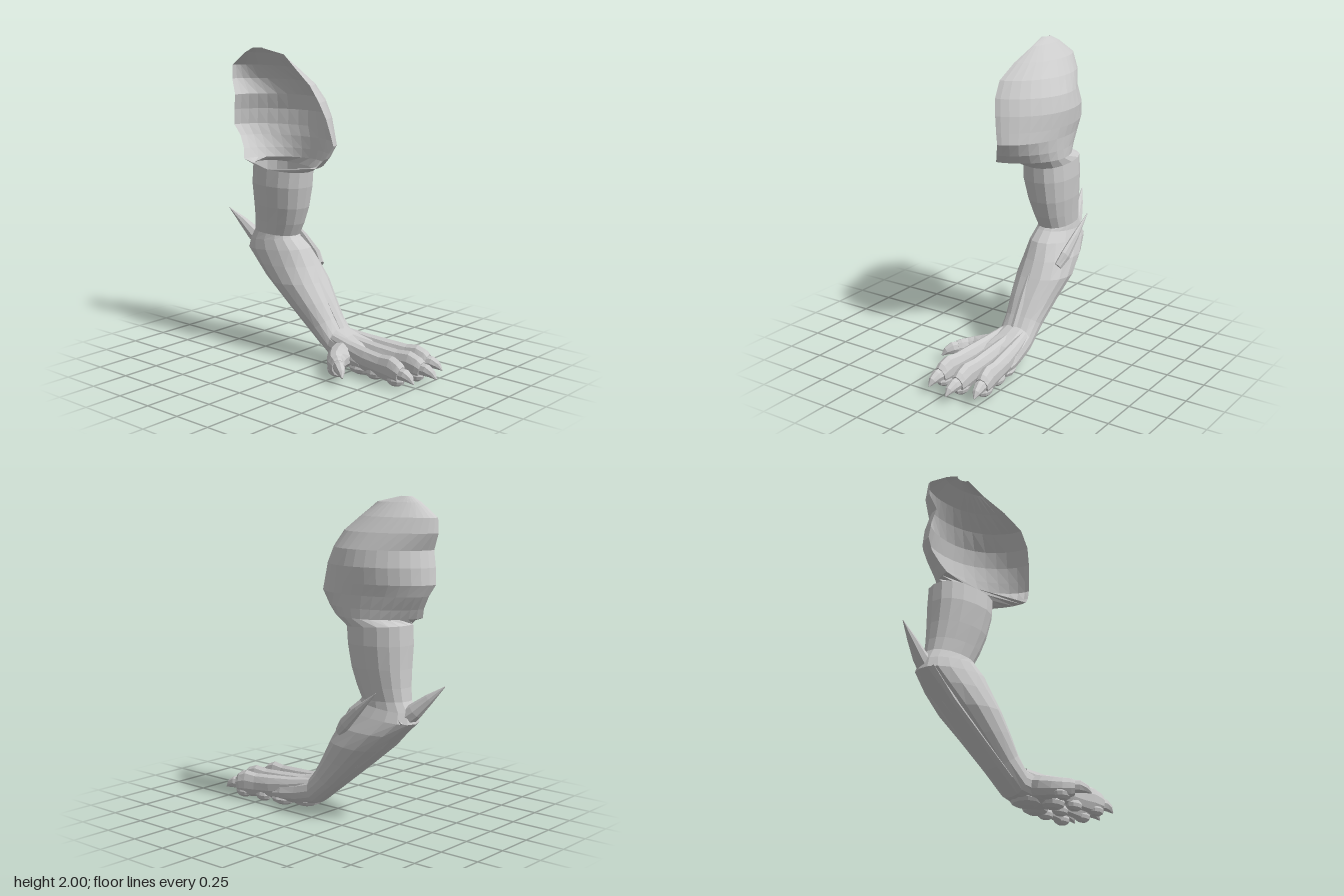
import * as THREE from 'three';

const V = (x, y, z) => new THREE.Vector3(x, y, z);
const material = new THREE.MeshStandardMaterial({ color: 0xcccccc, flatShading: true, side: THREE.DoubleSide });

function addMesh(parent, name, geometry) {
  const mesh = new THREE.Mesh(geometry, material);
  mesh.name = name;
  parent.add(mesh);
}

// Skin a surface over a list of rings (arrays of points, all the same length)
function loft(rings, closed = true) {
  const pos = [], n = rings[0].length;
  const tri = (a, b, c) => {
    const area = b.clone().sub(a).cross(c.clone().sub(a)).length();
    if (area > 1e-9) for (const p of [a, b, c]) pos.push(p.x, p.y, p.z);
  };
  for (let i = 0; i < rings.length - 1; i++) {
    for (let j = 0; j < (closed ? n : n - 1); j++) {
      const k = (j + 1) % n, r = rings[i], s = rings[i + 1];
      tri(r[j], s[j], r[k]);
      tri(r[k], s[j], s[k]);
    }
  }
  const g = new THREE.BufferGeometry();
  g.setAttribute('position', new THREE.Float32BufferAttribute(pos, 3));
  g.computeVertexNormals();
  return g;
}

const pow = (v, e) => Math.sign(v) * Math.abs(v) ** e;

// Ring spanned by a front point and a back point (z, y) and a range in x
function armRing([tz, ty, bz, by, x0, x1]) {
  return Array.from({ length: 16 }, (_, j) => {
    const a = (j / 16) * Math.PI * 2, c = pow(Math.cos(a), 0.88), s = pow(Math.sin(a), 0.88);
    return V((x0 + x1) / 2 + s * (x1 - x0) / 2, (ty + by) / 2 + c * (ty - by) / 2, (tz + bz) / 2 + c * (tz - bz) / 2);
  });
}

// Tapered limb along points [x, y, z, half width, half height], closed at both ends
function limb(points, sides = 10) {
  const centers = points.map(p => V(p[0], p[1], p[2]));
  const rings = points.map((p, i) => {
    const t = centers[Math.min(i + 1, points.length - 1)].clone().sub(centers[Math.max(i - 1, 0)]).normalize();
    const u = V(0, 1, 0).addScaledVector(t, -t.y).normalize();
    const v = u.clone().cross(t);
    return Array.from({ length: sides }, (_, j) => {
      const a = (j / sides) * Math.PI * 2;
      return centers[i].clone().addScaledVector(u, Math.cos(a) * p[4]).addScaledVector(v, Math.sin(a) * p[3]);
    });
  });
  const cap = c => Array.from({ length: sides }, () => c.clone());
  return loft([cap(centers[0]), ...rings, cap(centers[centers.length - 1])]);
}

// Flattened ball used for the pads of the sole
function pad(parent, name, x, y, z, rx, ry, rz) {
  addMesh(parent, name, new THREE.SphereGeometry(1, 10, 6).scale(rx, ry, rz).translate(x, y, z));
}

// Finger along a path of (x, z) points, ending in a claw with its tip at (x, z)
function finger(name, path, [cx, cz], profile, padSpots) {
  const g = new THREE.Group();
  g.name = name;
  const curve = new THREE.CatmullRomCurve3(path.map(([x, z]) => V(x, 0, z)));
  addMesh(g, 'fingerFlesh', limb(profile.map(([t, y, w, h]) => {
    const p = curve.getPoint(t);
    return [p.x, y, p.z, w, h];
  })));
  const end = curve.getPoint(1);
  const claw = [[-0.15, 0.1, 0.036, 0.042], [0.3, 0.1, 0.035, 0.04], [0.7, 0.085, 0.024, 0.027], [1, 0.06, 0.004, 0.004]];
  addMesh(g, 'claw', limb(claw.map(([t, y, w, h]) =>
    [end.x + (cx - end.x) * t, y, end.z + (cz - end.z) * t, w, h]), 8));
  for (const t of padSpots) {
    const p = curve.getPoint(t);
    pad(g, 'fingerPad', p.x, 0.055, p.z, 0.043, 0.042, 0.065);
  }
  return g;
}

export function createModel() {
  const model = new THREE.Group();
  model.name = 'clawedArm';

  // Arm from the shoulder joint to the palm: front z, y, back z, y, x range
  const arm = [
    [-0.16, 1.22, -0.595, 1.25, -0.1, 0.205],
    [-0.17, 1.12, -0.6, 1.13, -0.105, 0.21],
    [-0.2, 0.98, -0.6, 0.99, -0.08, 0.2],
    [-0.24, 0.87, -0.605, 0.88, -0.055, 0.185],
    [-0.28, 0.79, -0.615, 0.8, -0.04, 0.175],
    [-0.265, 0.775, -0.65, 0.735, -0.05, 0.18],
    [-0.19, 0.715, -0.67, 0.67, -0.065, 0.205],
    [-0.13, 0.61, -0.58, 0.59, -0.08, 0.24],
    [-0.07, 0.51, -0.45, 0.48, -0.088, 0.255],
    [0.0, 0.4, -0.29, 0.345, -0.07, 0.225],
    [0.06, 0.3, -0.1, 0.185, -0.045, 0.2],
    [0.1, 0.24, 0.07, 0.05, -0.04, 0.2],
    [0.19, 0.21, 0.2, 0.02, -0.055, 0.215],
    [0.29, 0.185, 0.31, 0.02, -0.075, 0.235],
    [0.35, 0.15, 0.37, 0.035, -0.075, 0.235],
    [0.37, 0.1, 0.38, 0.09, -0.04, 0.2],
  ];
  const armRings = arm.map(armRing);
  addMesh(model, 'arm', loft(armRings));

  // Shoulder shell, open on the inner side and joined to the top ring of the arm:
  // y, front z, back z, outer x, front rim x, back rim x
  const shoulder = [
    [2.0, -0.44, -0.52, -0.045, -0.07, -0.07],
    [1.965, -0.28, -0.6, 0.0, -0.04, -0.06],
    [1.88, -0.14, -0.725, 0.085, -0.08, -0.05],
    [1.79, -0.01, -0.73, 0.15, -0.1, -0.05],
    [1.69, 0.055, -0.685, 0.2, -0.09, -0.07],
    [1.59, 0.09, -0.71, 0.222, -0.065, -0.055],
    [1.49, 0.11, -0.72, 0.215, -0.045, -0.045],
    [1.42, 0.12, -0.68, 0.206, -0.03, -0.03],
    [1.34, 0.08, -0.63, 0.204, -0.065, -0.05],
    [1.28, 0.03, -0.6, 0.204, -0.1, -0.08],
  ];
  const shellRows = shoulder.map(([y, zf, zb, xm, xf, xb]) =>
    Array.from({ length: 17 }, (_, j) => {
      const t = (j / 16) * Math.PI, edge = xf + (xb - xf) * j / 16;
      const bulge = Math.abs(Math.sin(t)) ** (j < 8 ? 1.3 : 1);
      return V(edge + (xm - edge) * bulge, y, (zf + zb) / 2 + Math.cos(t) * (zf - zb) / 2);
    }));
  const joint = Array.from({ length: 17 }, (_, j) => armRings[0][(j + 12) % 16]);
  addMesh(model, 'shoulder', loft([...shellRows, joint], false));

  // Tendons along the underside and the front of the forearm
  for (const x of [0.0, 0.07, 0.14]) {
    addMesh(model, 'tendon', limb([
      [x, 0.69, -0.62, 0.02, 0.025], [x, 0.52, -0.46, 0.022, 0.025],
      [x, 0.37, -0.28, 0.02, 0.022], [x, 0.14, 0.0, 0.012, 0.015]], 6));
  }
  addMesh(model, 'frontTendon', limb([
    [0.07, 0.58, -0.135, 0.02, 0.015], [0.075, 0.4, -0.015, 0.024, 0.018], [0.08, 0.22, 0.1, 0.025, 0.02]], 6));

  // Elbow spike, and the thin blade on the outer side of the forearm
  addMesh(model, 'elbowSpike', limb([
    [0.085, 0.69, -0.59, 0.055, 0.06], [0.07, 0.75, -0.665, 0.045, 0.05],
    [0.045, 0.83, -0.75, 0.026, 0.03], [0.015, 0.91, -0.84, 0.002, 0.002]], 8));
  addMesh(model, 'sideBlade', limb([
    [0.22, 0.58, -0.2, 0.02, 0.03], [0.237, 0.64, -0.26, 0.024, 0.045],
    [0.245, 0.74, -0.37, 0.018, 0.03], [0.25, 0.86, -0.51, 0.002, 0.002]], 8));

  // Fingers: position along the path, centre y, half width, half height
  const fingerProfile = [
    [0, 0.18, 0.03, 0.04], [0.25, 0.145, 0.042, 0.06], [0.5, 0.12, 0.047, 0.075], [0.72, 0.11, 0.042, 0.077],
    [0.86, 0.11, 0.047, 0.087], [0.95, 0.1, 0.046, 0.074], [1.02, 0.093, 0.042, 0.056]];
  const spots = [0.62, 0.92];
  model.add(finger('innerFinger', [[0.0, 0.1], [-0.04, 0.4], [-0.068, 0.69]], [-0.075, 0.79], fingerProfile, spots));
  model.add(finger('middleFinger', [[0.08, 0.1], [0.083, 0.4], [0.09, 0.73]], [0.087, 0.84], fingerProfile, spots));
  model.add(finger('outerFinger', [[0.155, 0.1], [0.195, 0.4], [0.228, 0.67]], [0.245, 0.77], fingerProfile, spots));
  const thumbProfile = [
    [0, 0.12, 0.1, 0.08], [0.3, 0.105, 0.085, 0.075], [0.55, 0.095, 0.065, 0.068],
    [0.75, 0.09, 0.054, 0.064], [0.92, 0.092, 0.045, 0.06], [1, 0.092, 0.04, 0.052]];
  model.add(finger('thumb', [[0.0, 0.21], [-0.08, 0.215], [-0.15, 0.245], [-0.21, 0.315]], [-0.272, 0.4], thumbProfile, [0.75]));

  // Pads of the palm
  pad(model, 'palmPad', -0.005, 0.05, 0.33, 0.065, 0.045, 0.09);
  pad(model, 'palmPad', 0.15, 0.05, 0.33, 0.08, 0.045, 0.09);
  pad(model, 'heelPad', 0.08, 0.05, 0.19, 0.1, 0.042, 0.1);

  return model;
}
